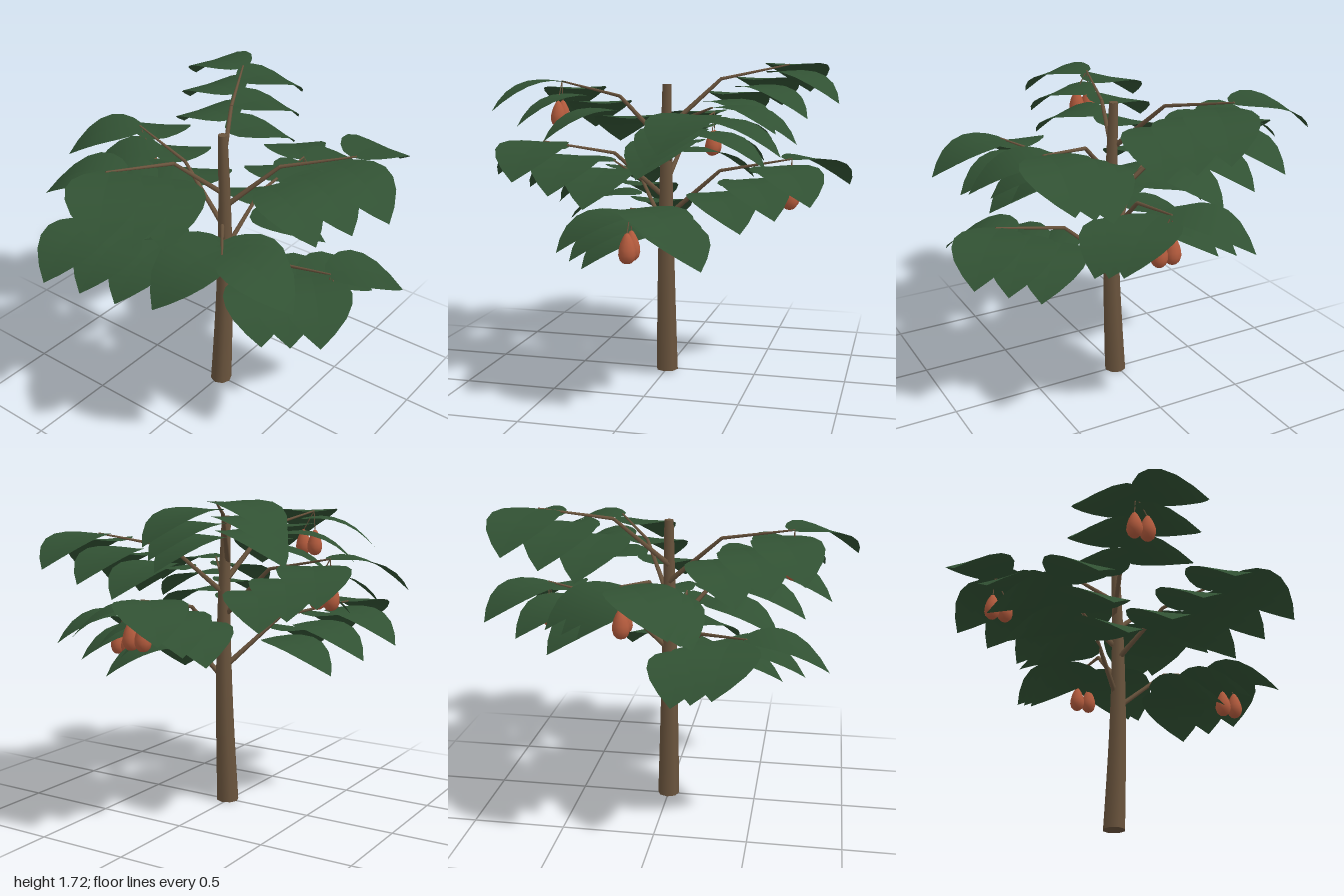
import * as THREE from 'three';

const bark = new THREE.MeshStandardMaterial({ color: 0x6a543d });
bark.name = 'bark brown';
const green = new THREE.MeshStandardMaterial({ color: 0x315133, side: THREE.DoubleSide });
green.name = 'leaf green';
const orange = new THREE.MeshStandardMaterial({ color: 0xb45b3d });
orange.name = 'fruit orange';

const BRANCHES = 8;
const TURN = THREE.MathUtils.degToRad(137.5);
const SPREAD = THREE.MathUtils.degToRad(49);
const trunkX = (y) => 0.01 + 0.026 * Math.sin((Math.PI * y) / 1.8);

// Trunk: tapered cylinder, gently bowed towards +x
function trunkGeometry() {
  const h = 1.61;
  const g = new THREE.CylinderGeometry(0.025, 0.062, h, 8, 12);
  g.translate(0, h / 2, 0);
  const p = g.attributes.position;
  for (let i = 0; i < p.count; i++) p.setX(i, p.getX(i) + trunkX(p.getY(i)));
  return g;
}

// Broad pointed leaf along +x: nearly flat across, the tip curling down
function leafGeometry() {
  const length = 0.435;
  const outline = [
    [0, 0], [0.04, 0.07], [0.14, 0.125], [0.28, 0.168], [0.44, 0.186],
    [0.6, 0.176], [0.75, 0.14], [0.89, 0.075], [1, 0],
  ];
  const pos = [];
  const index = [];
  for (const cols of [[-1, -0.5, 0], [0, 0.5, 1]]) {
    const start = pos.length / 3;
    outline.forEach(([t, w], i) => {
      for (const u of cols) {
        const fold = 0.04 * w * Math.abs(u);
        pos.push(t * length, 0.05 * t - 0.21 * t ** 2.6 + fold, u * w);
      }
      if (i === outline.length - 1) return;
      for (let j = 0; j < 2; j++) {
        const a = start + i * 3 + j;
        index.push(a, a + 1, a + 4, a, a + 4, a + 3);
      }
    });
  }
  const g = new THREE.BufferGeometry();
  g.setAttribute('position', new THREE.Float32BufferAttribute(pos, 3));
  g.setIndex(index);
  g.computeVertexNormals();
  return g;
}

// Teardrop fruit, hanging from its narrow end
function fruitGeometry() {
  const profile = [
    [0, -0.077], [0.022, -0.071], [0.037, -0.055], [0.044, -0.03], [0.042, -0.004],
    [0.034, 0.025], [0.023, 0.05], [0.011, 0.07], [0, 0.077],
  ];
  return new THREE.LatheGeometry(profile.map(([r, y]) => new THREE.Vector2(r, y)), 12);
}

// Tapered rod between two points
function rod(name, a, b, ra, rb) {
  const d = b.clone().sub(a);
  const m = new THREE.Mesh(new THREE.CylinderGeometry(rb, ra, d.length(), 6), bark);
  m.name = name;
  m.position.copy(a).addScaledVector(d, 0.5);
  m.quaternion.setFromUnitVectors(new THREE.Vector3(0, 1, 0), d.normalize());
  return m;
}

export function createModel() {
  const tree = new THREE.Group();
  tree.name = 'fruitTree';
  const trunk = new THREE.Mesh(trunkGeometry(), bark);
  trunk.name = 'trunk';
  tree.add(trunk);

  const leafGeo = leafGeometry();
  const fruitGeo = fruitGeometry();

  for (let i = 0; i < BRANCHES; i++) {
    const angle = i * TURN;
    const y0 = 0.685 + i * 0.0975;
    const x0 = trunkX(y0) - 0.018;

    // Branch: steep lower part, then a flatter outer part, built along +x
    const branch = new THREE.Group();
    branch.name = 'branch';
    branch.position.set(x0, y0, 0);
    branch.rotation.y = -angle;
    const root = new THREE.Vector3(0, 0, 0);
    const elbow = new THREE.Vector3(0.305, 0.268, 0);
    const tip = new THREE.Vector3(0.7, 0.345, 0);
    branch.add(rod('lowerBranch', root, elbow, 0.016, 0.01));
    branch.add(rod('outerBranch', elbow, tip, 0.01, 0.005));

    // Leaves alternate from side to side, the inner ones hanging below the elbow
    for (let k = 0; k < 6; k++) {
      const r = 0.225 + k * 0.089;
      const leaf = new THREE.Mesh(leafGeo, green);
      leaf.name = 'leaf';
      leaf.position.set(r, 0.045 + 0.44 * r, 0);
      leaf.rotation.y = k % 2 ? SPREAD : -SPREAD;
      branch.add(leaf);
    }
    tree.add(branch);

    // A pair of fruits hangs from every second branch
    if (i % 2) continue;
    const end = new THREE.Vector3(
      x0 + 0.7 * Math.cos(angle), y0 + 0.345, 0.7 * Math.sin(angle));
    for (const side of [-1, 1]) {
      const fruit = new THREE.Mesh(fruitGeo, orange);
      fruit.name = 'fruit';
      fruit.position.set(end.x + 0.03 + side * 0.038, y0 + 0.16, end.z);
      const top = fruit.position.clone().setY(fruit.position.y + 0.07);
      tree.add(fruit, rod('fruitStem', top, end, 0.003, 0.003));
    }
  }
  return tree;
}
